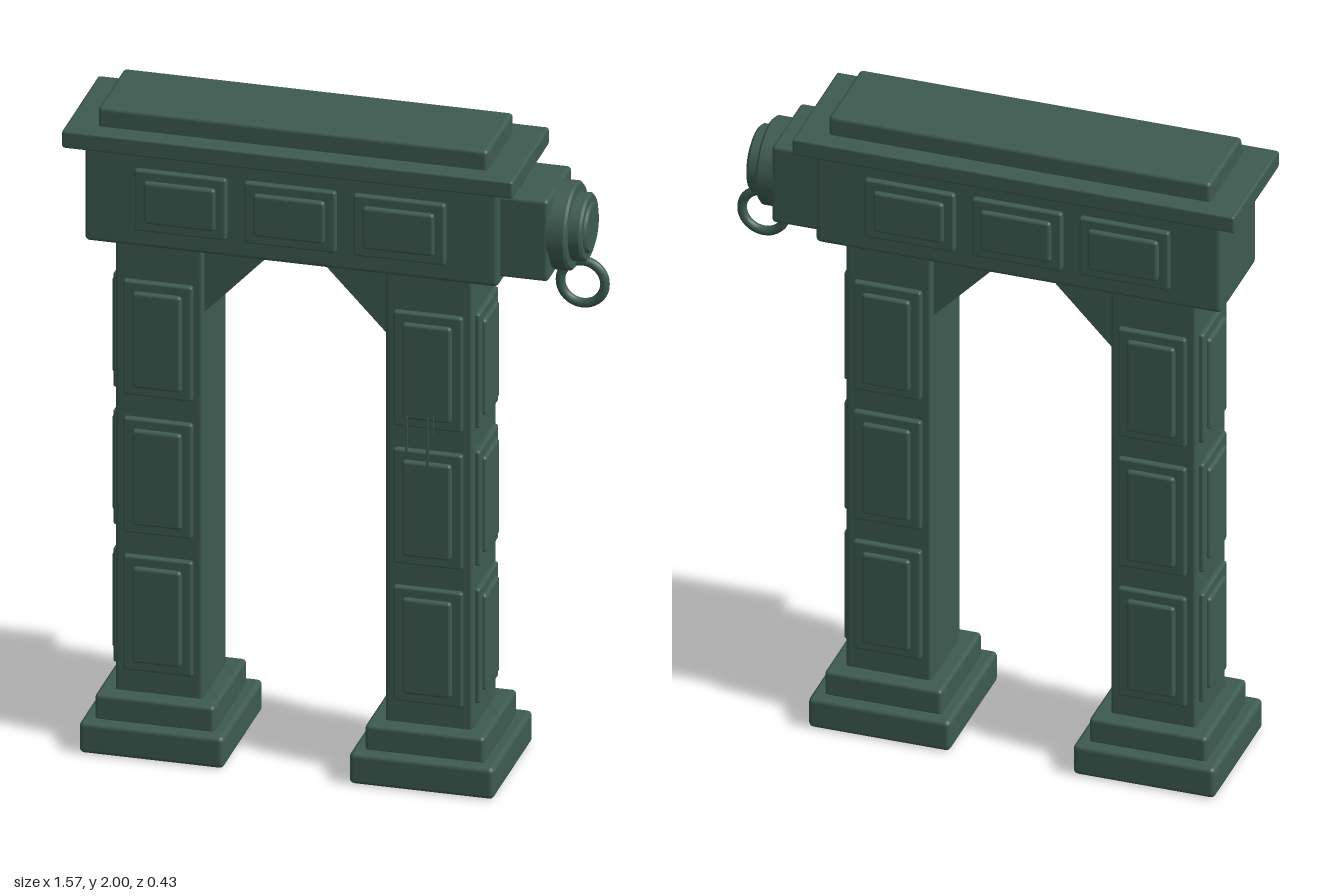
import * as THREE from 'three';
import { RoundedBoxGeometry } from 'three/addons/geometries/RoundedBoxGeometry.js';

export function createModel() {
  const model = new THREE.Group();
  model.name = 'gate';
  const stone = new THREE.MeshStandardMaterial({ color: 0x3d5b51 });
  stone.name = 'dark green stone';

  const add = (parent, name, geometry, x = 0, y = 0, z = 0) => {
    const mesh = new THREE.Mesh(geometry, stone);
    mesh.name = name;
    mesh.position.set(x, y, z);
    parent.add(mesh);
    return mesh;
  };
  // softly bevelled block between two corners
  const block = (parent, name, [x0, x1], [y0, y1], [z0, z1], r = 0.012) =>
    add(parent, name, new RoundedBoxGeometry(x1 - x0, y1 - y0, z1 - z0, 2, r),
      (x0 + x1) / 2, (y0 + y1) / 2, (z0 + z1) / 2);

  // two-step raised panel facing +z, turned about y by angle
  const panel = (parent, x, y, z, w, h, angle, inset, rise) => {
    const g = new THREE.Group();
    g.name = 'raisedPanel';
    g.position.set(x, y, z);
    g.rotation.y = angle;
    block(g, 'panelFrame', [-w / 2, w / 2], [-h / 2, h / 2], [-0.03, rise * 0.55], 0.008);
    block(g, 'panelCentre', [-w / 2 + inset, w / 2 - inset],
      [-h / 2 + inset, h / 2 - inset], [-0.03, rise], 0.01);
    parent.add(g);
  };

  // columns with stepped feet, panels and corner brackets
  for (const [name, cx, outer] of [['rightColumn', -0.516, -1], ['leftColumn', 0.283, 1]]) {
    const column = new THREE.Group();
    column.name = name;
    column.position.x = cx;
    model.add(column);
    block(column, 'lowerFoot', [-0.214, 0.214], [0, 0.098], [-0.214, 0.214], 0.015);
    block(column, 'upperFoot', [-0.177, 0.177], [0.09, 0.174], [-0.177, 0.177]);
    block(column, 'shaft', [-0.13, 0.13], [0.15, 1.6], [-0.128, 0.128]);
    for (const y of [0.425, 0.857, 1.288]) {
      panel(column, 0, y, 0.128, 0.205, 0.36, 0, 0.03, 0.03);
      panel(column, 0, y, -0.128, 0.205, 0.36, Math.PI, 0.03, 0.03);
      panel(column, outer * 0.13, y, 0, 0.205, 0.36, outer * Math.PI / 2, 0.03, 0.025);
    }
    const tri = new THREE.Shape([[0, 1.59], [0, 1.375], [0.205, 1.59]]
      .map(([x, y]) => new THREE.Vector2(-outer * (0.125 + x), y)));
    add(column, 'cornerBracket',
      new THREE.ExtrudeGeometry(tri, { depth: 0.22, bevelEnabled: false }), 0, 0, -0.11);
  }

  // lintel, cornice and cap
  block(model, 'lintel', [-0.73, 0.495], [1.582, 1.888], [-0.155, 0.155], 0.015);
  block(model, 'cornice', [-0.785, 0.55], [1.885, 1.94], [-0.198, 0.198], 0.008);
  block(model, 'cap', [-0.693, 0.46], [1.93, 2], [-0.14, 0.14], 0.012);
  for (const x of [-0.442, -0.118, 0.206]) {
    panel(model, x, 1.735, 0.155, 0.272, 0.192, 0, 0.03, 0.03);
    panel(model, x, 1.735, -0.155, 0.272, 0.192, Math.PI, 0.03, 0.03);
  }

  // round boss on the end of the lintel
  block(model, 'bossBlock', [0.47, 0.636], [1.605, 1.86], [-0.129, 0.129]);
  const disc = (name, r, x0, x1) => {
    const b = 0.007, h = x1 - x0;
    const profile = [[0, 0], [r, 0], [r, 0], [r, h - b], [r, h - b], [r - b, h], [r - b, h], [0, h]];
    const mesh = add(model, name, new THREE.LatheGeometry(
      profile.map(([x, y]) => new THREE.Vector2(x, y)), 40), x0, 1.733, 0);
    mesh.rotation.z = -Math.PI / 2;
  };
  disc('bossBaseDisc', 0.13, 0.63, 0.686);
  disc('bossMiddleDisc', 0.1, 0.68, 0.724);
  disc('bossFaceDisc', 0.075, 0.715, 0.732);
  add(model, 'hangingRing', new THREE.TorusGeometry(0.066, 0.014, 12, 40), 0.703, 1.56, 0);

  // thin cracks on the front of the left column
  for (const [x, y0, y1, w] of [[0.225, 1.04, 1.15, 0.008], [0.287, 1.0, 1.15, 0.008],
    [0.303, 1.1, 1.16, 0.006]]) {
    add(model, 'crackStrip', new THREE.BoxGeometry(w, y1 - y0, 0.006), x, (y0 + y1) / 2, 0.158);
  }
  return model;
}
